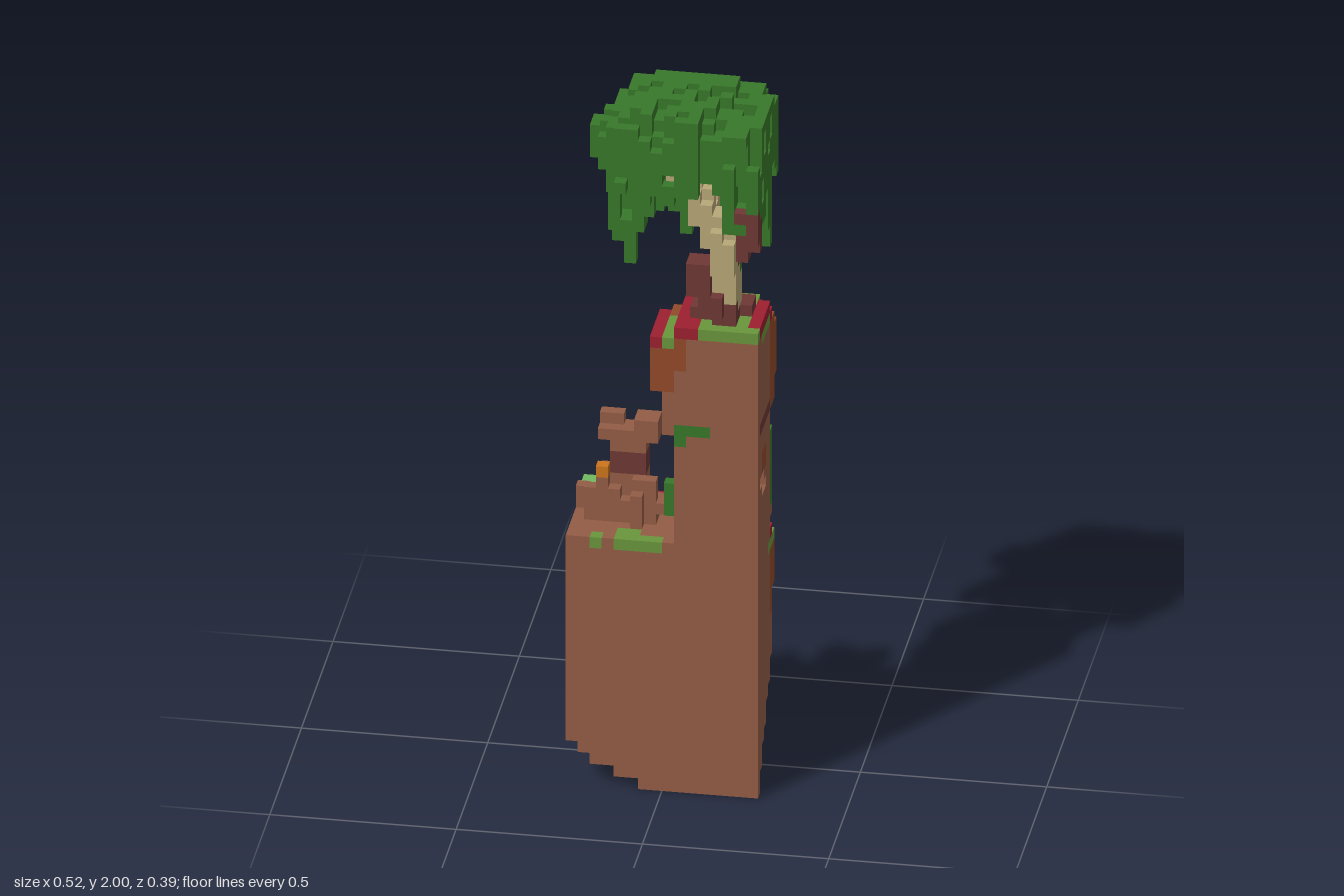
import * as THREE from 'three';

const NX = 16, NY = 62, NZ = 12, S = 2 / NY;

const COLORS = {
  earth: 0x935d46, clay: 0x934a2a, redSoil: 0x9c1f30, grass: 0x6a963c, brightGrass: 0x70b860,
  leaf: 0x38782a, wood: 0xb8a878, darkWood: 0x6e3834, lamp: 0xcc761c,
};

// Repeatable noise in 0..1 for a cell
function noise(i, j, k) {
  const v = Math.sin(i * 127.1 + j * 311.7 + k * 74.7 + 3.3) * 43758.5453;
  return v - Math.floor(v);
}

// Six cube sides: normal and two edge directions, with u x v = n
const SIDES = [
  [[1, 0, 0], [0, 1, 0], [0, 0, 1]], [[-1, 0, 0], [0, 0, 1], [0, 1, 0]],
  [[0, 1, 0], [0, 0, 1], [1, 0, 0]], [[0, -1, 0], [1, 0, 0], [0, 0, 1]],
  [[0, 0, 1], [1, 0, 0], [0, 1, 0]], [[0, 0, -1], [0, 1, 0], [1, 0, 0]],
];

export function createModel() {
  const cells = new Map();
  const key = (i, j, k) => i + NX * (k + NZ * j);
  const inside = (i, j, k) => i >= 0 && i < NX && j >= 0 && j < NY && k >= 0 && k < NZ;
  const get = (i, j, k) => (inside(i, j, k) ? cells.get(key(i, j, k)) : undefined);
  const put = (part, color, i, j, k) => {
    if (inside(i, j, k)) cells.set(key(i, j, k), { part, color, i, j, k });
  };
  // Inclusive block of cells
  const fill = (part, color, i0, i1, j0, j1, k0, k1) => {
    for (let j = j0; j <= j1; j++) for (let k = k0; k <= k1; k++) for (let i = i0; i <= i1; i++) {
      put(part, color, i, j, k);
    }
  };

  // Island base: stepped underside, flat front and sides
  const backEdge = [11, 10, 10, 9, 8, 8, 7, 6, 6, 5, 5, 5, 5, 5, 4, 4, 4, 4, 3, 3, 3, 3, 3];
  const leftEdge = [6, 4, 2, 1];
  const baseColor = (i, j, k) => {
    if (i >= 13 && k <= 5 && j >= 20) return 'redSoil';
    if (i < 13 && k <= 4 && j >= 21) return j === 22 && k === 4 ? 'grass' : 'redSoil';
    if (j === 22 && k === 5 && i > 1) return 'grass';
    if (j === 22 && k > 5 && k < 11 && i > 3 && i < 15) return noise(i, j, k) < 0.4 ? 'grass' : 'earth';
    if (j === 22 && k === 11 && ((i >= 4 && i <= 7) || i === 2)) return 'grass';
    return j >= 13 + Math.floor(noise(i >> 2, 1, 1) * 3) && k <= 5 ? 'clay' : 'earth';
  };
  backEdge.forEach((edge, j) => {
    for (let i = leftEdge[j] ?? 0; i < NX; i++) {
      const lag = (i < 3 || i > 13 ? 1 : 0) + (i < 1 || (j % 3 === 0 && i > 10) ? 1 : 0);
      const corner = j >= 18 && (i < 2 || i > 14) ? 1 : 0;
      const start = Math.max(backEdge[Math.max(0, j - lag)], edge + corner);
      for (let k = start; k < NZ; k++) {
        if (j > 20 && i >= 13 && k <= 5 && !(j === 21 && k === 5)) continue;
        put('islandBase', baseColor(i, j, k), i, j, k);
      }
    }
  });
  fill('islandBase', 'grass', 15, 15, 20, 20, 4, 6);
  fill('islandBase', 'redSoil', 12, 13, 21, 22, 4, 4);

  // Low ledge stones and moss at the back corner
  fill('ledge', 'clay', 0, 1, 22, 22, 3, 4);
  fill('ledge', 'brightGrass', 0, 1, 23, 23, 3, 4);
  fill('ledge', 'earth', 2, 2, 23, 24, 3, 3);
  fill('ledge', 'earth', 0, 0, 23, 24, 6, 6);

  // Rock pillar, rough at the back, wider at its foot
  for (let j = 23; j <= 32; j++) for (let i = 9; i < NX; i++) {
    const taper = i < 15 ? Math.floor(noise(i, j >> 2, 9) * 2.2 + (i < 11 ? (j - 23) / 8 : 0)) : 0;
    const foot = j < 26 && noise(i, 2, 2) > 0.6 ? 1 : 0;
    for (let k = 6 + taper - foot; k < NZ; k++) put('pillar', 'earth', i, j, k);
  }
  fill('pillar', 'clay', 14, 14, 27, 29, 8, 10);
  for (const [j, k] of [[27, 8], [27, 9], [28, 9], [28, 10]]) cells.delete(key(15, j, k));
  fill('pillar', 'clay', 15, 15, 29, 30, 8, 9);

  // Overhanging plateau, its corners cut back
  const plateauBack = [3, 3, 2, 2, 2, 2, 2, 3, 4, 5];
  const cornerCut = { 7: 3, 8: 2, 9: 1, 15: 1 };
  const plateauColor = (i, j, k) => {
    if (j === 33) return k >= 6 && k < 11 ? 'darkWood' : k < 6 ? 'clay' : 'earth';
    if (j === 42) return i === 9 || (i === 10 && k > 8) || (i === 15 && k < 11) || (k <= 5 && i % 3 === 0) ? 'redSoil' : 'grass';
    if (j === 41 && i === 15 && k >= 6 && k <= 9) return 'grass';
    if (j === 41 && i === 8 && k > 7) return 'grass';
    if (j === 41 && (k <= 5 || i === 7)) return 'redSoil';
    if (j === 40 && k <= 3 && i > 9) return 'redSoil';
    return k <= 5 || i - 7 < Math.min(3, (j - 35) / 1.6) ? 'clay' : 'earth';
  };
  plateauBack.forEach((edge, n) => {
    const j = 33 + n;
    const left = n < 4 ? 8 : n < 9 ? 7 : 9;
    for (let i = left; i < NX; i++) {
      const under = n < 3 && i < 11 ? 1 : 0;
      for (let k = edge + under + (cornerCut[i] ?? 0); k < NZ; k++) put('plateau', plateauColor(i, j, k), i, j, k);
    }
  });

  // Vines on the pillar
  fill('vine', 'leaf', 14, 14, 21, 29, 4, 4);
  fill('vine', 'leaf', 14, 15, 24, 30, 5, 5);
  fill('vine', 'leaf', 14, 14, 31, 32, 5, 5);
  fill('vine', 'leaf', 9, 11, 33, 33, 11, 11);
  fill('vine', 'leaf', 9, 9, 32, 32, 11, 11);
  fill('vine', 'leaf', 8, 8, 25, 27, 10, 10);
  fill('looseStone', 'earth', 7, 8, 24, 24, 7, 8);

  // Small ruined tower with battlements and rubble
  for (let i = 1; i <= 6; i++) for (let k = 5; k <= 9; k++) {
    const h = Math.floor(noise(i, 7, k) * 4.6) - (k === 5 || k === 9 ? 1 : 0);
    if (h > 0) fill('rubble', 'earth', i, i, 23, 22 + Math.min(h, i === 1 ? 3 : 4), k, k);
  }
  fill('tower', 'earth', 3, 5, 23, 26, 6, 7);
  fill('tower', 'darkWood', 3, 5, 27, 28, 6, 7);
  fill('tower', 'earth', 3, 5, 29, 29, 6, 7);
  fill('tower', 'earth', 2, 6, 30, 30, 6, 7);
  fill('tower', 'earth', 2, 3, 31, 31, 6, 6);
  fill('tower', 'earth', 5, 6, 31, 31, 6, 7);
  fill('lampPost', 'earth', 2, 2, 23, 26, 8, 8);
  fill('lamp', 'lamp', 2, 2, 27, 27, 8, 8);

  // Leaf crown: a rough dome, hollow below, cut flat at the front and side
  const crownLeft = [6, 5, 4, 3, 1, 1, 2, 2, 3, 3, 5, 4];
  const crownRight = [12, 14];
  // Left and back limits for levels 52 and up
  const levelLeft = [3, 3, 3, 1, 1, 1, 2, 3, 4, 5];
  const levelBack = [1, 1, 1, 0, 0, 0, 1, 1, 2, 3];
  for (let k = 0; k < NZ; k++) for (let i = crownLeft[k]; i <= (crownRight[k] ?? 15); i++) {
    if (k === 11 && (i === 11 || i === 12)) continue;
    const flat = ((i - 8.8) / 8.2) ** 2 + ((k - 6.4) / 7.4) ** 2;
    for (let j = 52; j < NY; j++) {
      if (i < levelLeft[j - 52] || k < levelBack[j - 52] || (j === 61 && i > 12)) continue;
      const d = flat + (Math.abs(j - 56) / 6) ** 3;
      const hollow = flat + ((j - 51) / 8) ** 2 < 0.6;
      if (d > 1.15 || hollow) continue;
      if (d > 0.55 && noise(i, j >> 1, k) > 0.7 && !(j === 56 && flat > 0.8)) continue;
      if (j < 55 && noise(i, 3, k) < (i > 12 && k > 5 ? 0.25 : 0.4 + (55 - j) * 0.18)) continue;
      put('leafCrown', 'leaf', i, j, k);
    }
  }

  // Hanging leaf strands: column, row, lowest level
  const strands = [
    [3, 6, 48], [4, 6, 46], [4, 5, 50], [3, 8, 50], [5, 3, 50], [5, 8, 51], [6, 4, 50], [7, 2, 49], [8, 2, 47],
    [8, 3, 50], [10, 2, 50], [11, 2, 48], [12, 3, 47], [13, 3, 50], [14, 4, 49], [15, 5, 48], [15, 6, 50],
    [13, 8, 47], [7, 5, 51], [10, 4, 51], [6, 9, 52],
  ];
  for (const [i, k, low] of strands) fill('leafStrand', 'leaf', i, i, low, 56, k, k);
  fill('leafStrand', 'leaf', 3, 5, 50, 50, 7, 8);

  // Twisted trunk: cells near a path
  const limb = (part, color, radius, points) => {
    const path = new THREE.CatmullRomCurve3(points.map((p) => new THREE.Vector3(...p)));
    for (const p of path.getPoints(40)) {
      for (let j = 43; j < NY; j++) for (let k = 0; k < NZ; k++) for (let i = 0; i < NX; i++) {
        if (Math.hypot(i + 0.5 - p.x, j + 0.5 - p.y, k + 0.5 - p.z) < radius) put(part, color, i, j, k);
      }
    }
  };
  limb('trunk', 'wood', 1.25, [[13, 43.5, 8.5], [13, 46, 9.5], [12.9, 50, 10.7], [11, 53.5, 9.8], [9.5, 56, 9]]);
  limb('branch', 'wood', 0.9, [[12, 51, 9.5], [11, 54, 7], [9, 57, 6]]);
  limb('darkRoot', 'darkWood', 0.95, [[13.5, 43.5, 10.3], [12, 45, 11], [11.1, 47, 11.3], [10.8, 48.5, 11]]);
  limb('darkBranch', 'darkWood', 0.85, [[12.5, 48.5, 9], [14, 50, 10], [15.2, 51.3, 10.8], [15.3, 53.5, 11.4]]);
  fill('darkRoot', 'darkWood', 11, 14, 43, 43, 7, 8);
  fill('darkRoot', 'darkWood', 10, 10, 43, 43, 8, 9);

  // Branch tip showing through a gap in the front leaves
  for (const k of [10, 11]) cells.delete(key(8, 56, k));
  put('branch', 'wood', 8, 56, 9);

  // Turn exposed cube sides into one mesh per part and colour
  const faces = new Map();
  for (const c of cells.values()) {
    const id = c.part + '|' + c.color;
    if (!faces.has(id)) faces.set(id, []);
    const out = faces.get(id);
    for (const [n, u, v] of SIDES) {
      if (get(c.i + n[0], c.j + n[1], c.k + n[2])) continue;
      const at = [c.i - NX / 2 + 0.5, c.j + 0.5, c.k - NZ / 2 + 0.5];
      for (const [a, b] of [[-1, -1], [1, -1], [1, 1], [-1, -1], [1, 1], [-1, 1]]) {
        for (let x = 0; x < 3; x++) out.push((at[x] + (n[x] + a * u[x] + b * v[x]) / 2) * S);
      }
    }
  }
  const materials = {};
  for (const name in COLORS) {
    materials[name] = new THREE.MeshStandardMaterial({ color: COLORS[name] });
    materials[name].name = name;
  }
  const model = new THREE.Group();
  model.name = 'floatingIsland';
  for (const [id, positions] of faces) {
    if (!positions.length) continue;
    const [part, color] = id.split('|');
    const geometry = new THREE.BufferGeometry();
    geometry.setAttribute('position', new THREE.Float32BufferAttribute(positions, 3));
    geometry.computeVertexNormals();
    const mesh = new THREE.Mesh(geometry, materials[color]);
    mesh.name = part;
    model.add(mesh);
  }
  return model;
}
